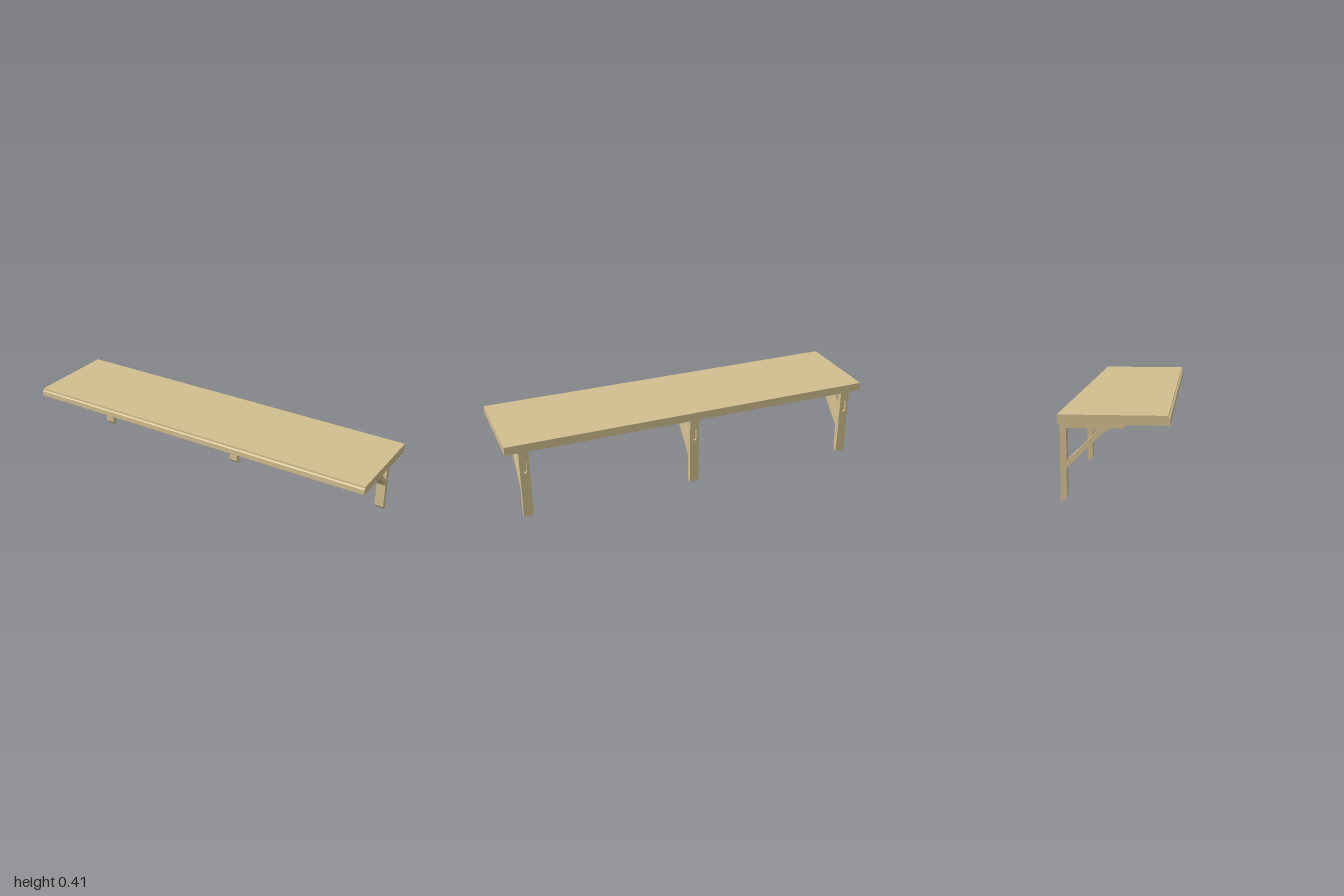
import * as THREE from 'three';

const wood = new THREE.MeshStandardMaterial({ color: 0xd2be90 });
wood.name = 'pale wood';

const TOP = 0.368; // underside of the shelf board
const POST_WIDTH = 0.05;

// Closed shape from [horizontal, vertical] points
const outline = (points, Type = THREE.Shape) =>
  new Type(points.map(([a, b]) => new THREE.Vector2(a, b)));

// Extrude a (z, y) side profile across x, centred
function extrudeAcross(shape, width) {
  const geometry = new THREE.ExtrudeGeometry(shape, { depth: width, bevelEnabled: false });
  return geometry.translate(0, 0, -width / 2).rotateY(-Math.PI / 2);
}

function part(name, geometry) {
  const mesh = new THREE.Mesh(geometry, wood);
  mesh.name = name;
  return mesh;
}

// Arm, diagonal brace and post in one side profile
function bracketFrame() {
  const shape = outline([
    [-0.238, TOP], [-0.238, 0], [-0.22, 0.02], [-0.22, 0.154],
    [-0.034, 0.34], [0.033, 0.34], [0.05, 0.355], [0.05, TOP],
  ]);
  shape.holes.push(outline([[-0.22, 0.189], [-0.22, 0.34], [-0.069, 0.34]], THREE.Path));
  return extrudeAcross(shape, POST_WIDTH);
}

// Back layer of the post with a round-ended hanging slot
function postBack() {
  const w = POST_WIDTH / 2;
  const shape = outline([[-w, 0], [w, 0], [w, TOP], [-w, TOP]]);
  const slot = new THREE.Path();
  slot.absarc(0, 0.31, 0.01, 0, Math.PI, false);
  slot.absarc(0, 0.26, 0.01, Math.PI, Math.PI * 2, false);
  slot.closePath();
  shape.holes.push(slot);
  const geometry = new THREE.ExtrudeGeometry(shape, { depth: 0.011, bevelEnabled: false, curveSegments: 10 });
  return geometry.translate(0, 0, -0.249);
}

export function createModel() {
  const model = new THREE.Group();
  model.name = 'wallShelf';

  // Board with a stepped, eased front edge
  const board = outline([
    [-0.25, TOP], [0.247, TOP], [0.251, 0.371], [0.251, 0.398], [0.247, 0.401],
    [0.241, 0.403], [0.241, 0.412], [-0.25, 0.412],
  ]);
  model.add(part('shelfBoard', extrudeAcross(board, 2)));

  // Three matching brackets
  const frame = bracketFrame();
  const back = postBack();
  for (const [name, x] of [['rightBracket', -0.908], ['middleBracket', 0], ['leftBracket', 0.908]]) {
    const bracket = new THREE.Group();
    bracket.name = name;
    bracket.position.x = x;
    bracket.add(part('bracketFrame', frame), part('slottedPostBack', back));
    model.add(bracket);
  }
  return model;
}
